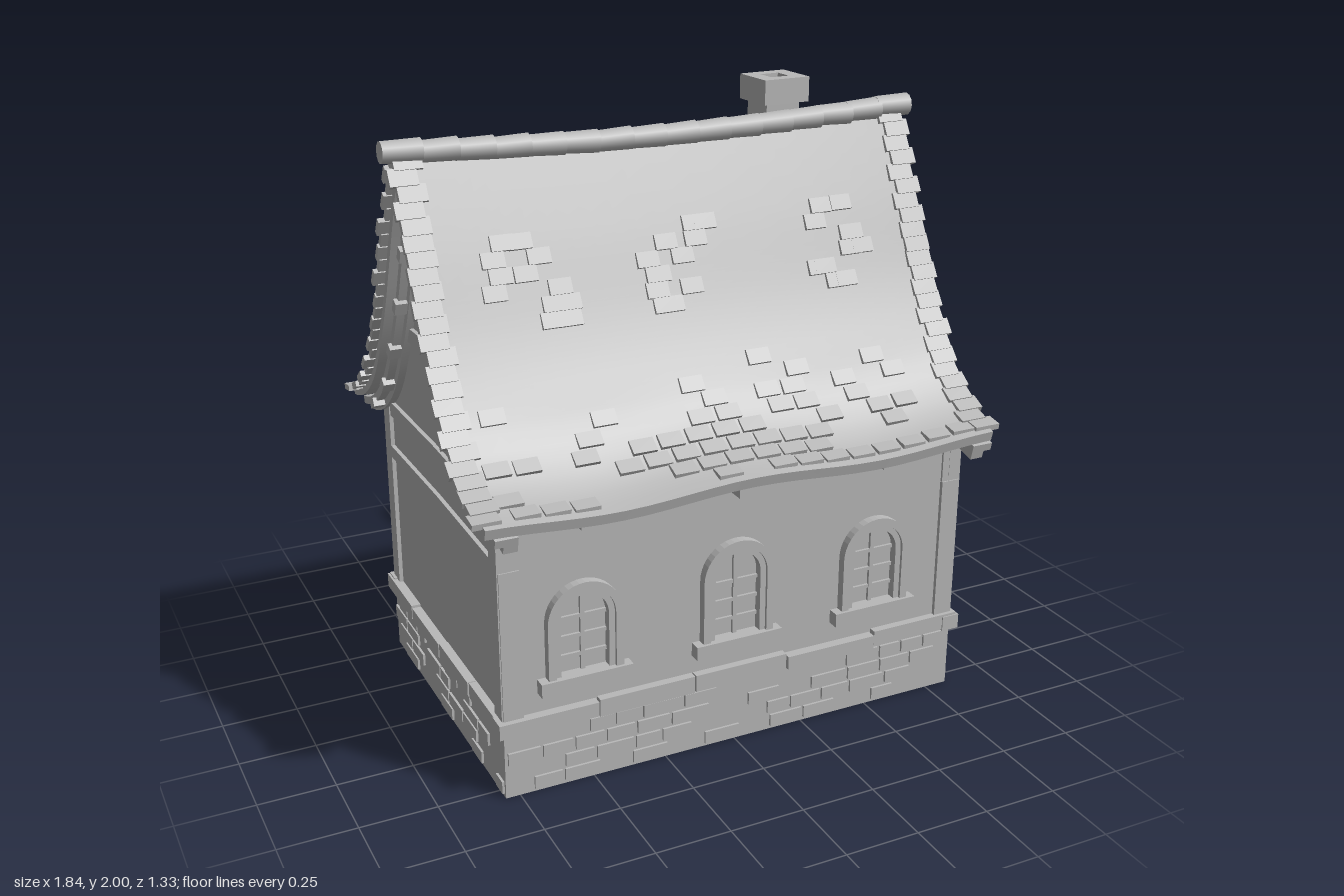
import * as THREE from 'three';
import { mergeGeometries, toCreasedNormals } from 'three/addons/utils/BufferGeometryUtils.js';

const stone = new THREE.MeshStandardMaterial({ color: 0xb8b8b8 });
stone.name = 'plain grey';

let seed = 7;
const rnd = () => (seed = (seed * 16807) % 2147483647) / 2147483647;
const jit = (a) => (rnd() - 0.5) * 2 * a;

const CX = 0.018, HX = 0.815, HZ = 0.55; // body centre and half sizes
const T = 0.04; // wall thickness

function add(parent, name, geos) {
  const list = [geos].flat().map((g) => (g.index ? g.toNonIndexed() : g));
  const m = new THREE.Mesh(list.length > 1 ? mergeGeometries(list) : list[0], stone);
  m.name = name;
  parent.add(m);
  return m;
}
// box given by its ranges
const box = (x0, x1, y0, y1, z0, z1) =>
  new THREE.BoxGeometry(x1 - x0, y1 - y0, z1 - z0).translate((x0 + x1) / 2, (y0 + y1) / 2, (z0 + z1) / 2);
const slab = (shape, z0, z1, steps = 1) =>
  new THREE.ExtrudeGeometry(shape, { depth: z1 - z0, steps, bevelEnabled: false, curveSegments: 10 }).translate(0, 0, z0);

// round-headed outline
function arch(Type, cx, h, bottom, top) {
  const s = new Type();
  s.moveTo(cx - h, bottom); s.lineTo(cx + h, bottom); s.lineTo(cx + h, top - h);
  s.absarc(cx, top - h, h, 0, Math.PI, false);
  s.closePath();
  return s;
}
function rect(Type, x0, x1, y0, y1) {
  const s = new Type();
  s.moveTo(x0, y0); s.lineTo(x1, y0); s.lineTo(x1, y1); s.lineTo(x0, y1); s.closePath();
  return s;
}
function ring(outer, inner) { outer.holes.push(inner); return outer; }

// bar between two points of a wall plane
function bar(a, b, w, z0, z1) {
  const len = Math.hypot(b[0] - a[0], b[1] - a[1]);
  return new THREE.BoxGeometry(len, w, z1 - z0).rotateZ(Math.atan2(b[1] - a[1], b[0] - a[0]))
    .translate((a[0] + b[0]) / 2, (a[1] + b[1]) / 2, (z0 + z1) / 2);
}

// half roof profile from ridge to eave, x = distance from the ridge plane
const slope = new THREE.CatmullRomCurve3(
  [[0, 1.93], [0.12, 1.665], [0.243, 1.39], [0.33, 1.235], [0.42, 1.105], [0.52, 1.02], [0.6, 0.98], [0.667, 0.963]]
    .map(([z, y]) => new THREE.Vector3(z, y, 0)));
function offsetSlope(d) {
  const pts = [[0, 1.93 - d / 0.41]];
  for (let i = 1; i <= 26; i++) {
    const p = slope.getPointAt(i / 26), t = slope.getTangentAt(i / 26);
    const z = p.x + t.y * d, y = p.y - t.x * d;
    if (z > 0.005) pts.push([z, y]);
  }
  return pts;
}
const mirrored = (pts) => [...pts.slice().reverse(), ...pts.slice(1).map(([z, y]) => [-z, y])];
const toShape = (pts) => new THREE.Shape(pts.map(([x, y]) => new THREE.Vector2(x, y)));
const ribbon = (d0, d1) => toShape([...mirrored(offsetSlope(d0)), ...mirrored(offsetSlope(d1)).reverse()]);
// sagging ridge and wavy eaves
const sag = (x, y) => THREE.MathUtils.clamp((y - 1.2) / 0.73, 0, 1) * 0.03 * ((x / 0.9) ** 2 - 1)
  + THREE.MathUtils.clamp((1.2 - y) / 0.24, 0, 1) * 0.012 * Math.cos(x * 7);

function roof(g) {
  const shell = slab(ribbon(0, 0.035), -0.87, 0.87, 24).rotateY(Math.PI / 2);
  const p = shell.attributes.position;
  for (let i = 0; i < p.count; i++) p.setY(i, p.getY(i) + sag(p.getX(i), p.getY(i)));
  add(g, 'roof', toCreasedNormals(shell, 0.6));

  // raised shingles
  const tiles = [];
  const tile = (x, u, s, w, h) => {
    const c = slope.getPointAt(u), t = slope.getTangentAt(u);
    tiles.push(new THREE.BoxGeometry(w, 0.02, h).rotateX(Math.atan2(-t.y, s * t.x) - s * 0.1)
      .translate(x, c.y + sag(x, c.y), s * c.x));
  };
  for (const s of [-1, 1]) {
    for (let i = 0; i < 24; i++)
      for (const e of [-1, 1]) tile(e * (0.845 + (i % 2) * 0.012 + jit(0.006)), 0.03 + i * 0.0405, s, 0.09, 0.055);
    for (const cx of [-0.52, 0, 0.55])
      for (let r = 0; r < 6; r++)
        for (let k = 0; k < 2; k++) tile(cx + jit(0.13), 0.25 + r * 0.042, s, 0.075, 0.05);
    for (let r = 0; r < 8; r++)
      for (let k = 0; k < 17; k++)
        if (rnd() < 0.25 + r * 0.045) tile(-0.76 + k * 0.094 + (r % 2) * 0.03, 0.635 + r * 0.046, s, 0.08, 0.05);
  }
  add(g, 'shingles', tiles);

  // overlapping ridge caps
  const caps = [];
  for (let i = 0; i < 16; i++) {
    const x = -0.855 + i * 0.114;
    caps.push(new THREE.CylinderGeometry(0.034, 0.038, 0.125, 12).rotateZ(Math.PI / 2 + jit(0.03))
      .translate(x, 1.925 + sag(x, 1.93), 0));
  }
  add(g, 'ridgeCaps', caps);

  // rafter ends under the eaves
  const ends = [];
  for (const s of [-1, 1])
    for (const x of [-0.525, 0, 0.52]) ends.push(box(x - 0.03, x + 0.03, 0.89, 0.945, s * 0.57 - 0.045, s * 0.57 + 0.045));
  add(g, 'rafterEnds', ends);
}

function archedWindow(g, cx, top) {
  const w = new THREE.Group();
  w.name = 'archedWindow';
  add(w, 'outerFrame', slab(ring(arch(THREE.Shape, cx, 0.125, 0.37, top), arch(THREE.Path, cx, 0.1, 0.375, top - 0.025)), -T - 0.012, 0.02));
  add(w, 'innerFrame', slab(ring(arch(THREE.Shape, cx, 0.1, 0.375, top - 0.025), arch(THREE.Path, cx, 0.08, 0.385, top - 0.045)), -T - 0.005, 0.01));
  add(w, 'pane', slab(arch(THREE.Shape, cx, 0.085, 0.375, top - 0.04), -0.028, -0.02));
  const bars = [box(cx - 0.007, cx + 0.007, 0.38, top - 0.045, -0.036, -0.01)];
  for (const y of [0.44, 0.505, 0.57]) bars.push(box(cx - 0.08, cx + 0.08, y - 0.006, y + 0.006, -0.035, -0.011));
  add(w, 'glazingBars', bars);
  add(w, 'sill', box(cx - 0.153, cx + 0.153, 0.338, 0.385, -T - 0.012, 0.03));
  g.add(w);
}

// stone plinth with scattered bricks and a ledge of separate blocks
function plinth(g, h) {
  add(g, 'plinth', box(-h, h, 0, 0.235, -T, 0));
  const bricks = [], ledge = [];
  for (let r = 0; r < 4; r++)
    for (let x = -h + 0.01 + (r % 2) * 0.05; x < h - 0.06;) {
      const w = Math.min(0.085 + rnd() * 0.06, h - x);
      const y = 0.012 + r * 0.052;
      if (rnd() < 0.55) bricks.push(box(x, x + w - 0.01, y, y + 0.042, -0.01, 0.008));
      x += w;
    }
  const n = Math.round(h / 0.15);
  for (let i = 0; i < n; i++) {
    const a = -h - 0.02 + (i * (2 * h + 0.04)) / n, b = a + (2 * h + 0.04) / n - 0.005;
    ledge.push(box(a, b, 0.22 + jit(0.005), 0.272 + jit(0.006), -T, 0.02 + jit(0.004)));
  }
  add(g, 'bricks', bricks);
  add(g, 'ledge', ledge);
}

function longWall(g) {
  const wins = [[-0.527, 0.695], [0, 0.722], [0.51, 0.695]].map(([x, t]) => [(x - CX) * g.userData.flip, t]);
  const s = rect(THREE.Shape, -HX + 0.012, HX - 0.012, 0.23, 0.975);
  for (const [x, top] of wins) s.holes.push(arch(THREE.Path, x, 0.1, 0.375, top - 0.025));
  add(g, 'wall', slab(s, -T - 0.01, -0.01));
  for (const [x, top] of wins) archedWindow(g, x, top);
  for (const e of [-1, 1])
    add(g, 'cornerPost', [box(e * 0.782 - 0.033, e * 0.782 + 0.033, 0.26, 0.77, -T, 0.003),
      box(e * 0.78 - 0.03, e * 0.78 + 0.03, 0.77, 0.95, -T, -0.002)]);
  plinth(g, HX);
}

function endWall(g, openings) {
  const inner = offsetSlope(0.03).filter(([z, y]) => z < 0.52 && y > 0.96);
  const s = toShape([[-0.535, 0.23], [0.535, 0.23], [0.535, 0.96], ...mirrored(inner), [-0.535, 0.96]]);
  if (openings) {
    s.holes.push(arch(THREE.Path, -0.25, 0.09, 0.26, 0.635), rect(THREE.Path, 0.17, 0.35, 0.28, 0.61));
    add(g, 'doorFrame', slab(ring(arch(THREE.Shape, -0.25, 0.115, 0.255, 0.66), arch(THREE.Path, -0.25, 0.09, 0.256, 0.635)), -T - 0.01, 0.012));
    // square window
    add(g, 'squareFrame', slab(ring(rect(THREE.Shape, 0.145, 0.375, 0.265, 0.63), rect(THREE.Path, 0.178, 0.342, 0.285, 0.6)), -T - 0.01, 0.008));
    add(g, 'squareLintel', box(0.135, 0.385, 0.605, 0.648, -T, 0.02));
    add(g, 'squarePane', box(0.17, 0.35, 0.28, 0.61, -0.03, -0.022));
    const bars = [box(0.253, 0.267, 0.28, 0.61, -0.035, -0.006)];
    for (const y of [0.36, 0.44, 0.525]) bars.push(box(0.175, 0.345, y - 0.006, y + 0.006, -0.034, -0.008));
    add(g, 'squareBars', bars);
  }
  add(g, 'gableWall', slab(s, -T - 0.01, -0.01));
  for (const e of [-1, 1]) add(g, 'cornerPost', box(e * 0.517 - 0.032, e * 0.517 + 0.032, 0.26, 0.97, -T, 0.004));
  // tie beams and collars
  const beams = [];
  for (const [y, h, w] of [[0.78, 0.53, 0.042], [0.945, 0.47, 0.05], [1.285, 0.24, 0.05], [1.5, 0.14, 0.05]])
    beams.push(bar([-h, y - 0.004], [0, y + 0.004], w, -T, 0.004), bar([0, y + 0.004], [h, y - 0.004], w, -T, 0.004));
  add(g, 'tieBeams', beams);
  // curved braces
  const braces = [];
  for (const e of [-1, 1]) {
    const c = new THREE.QuadraticBezierCurve(new THREE.Vector2(e * 0.12, 1.475), new THREE.Vector2(e * 0.035, 1.44), new THREE.Vector2(e * 0.018, 1.3));
    const p = c.getPoints(5);
    for (let i = 0; i < 5; i++) braces.push(bar(p[i].toArray(), p[i + 1].toArray(), 0.035, -T, 0));
  }
  add(g, 'braces', braces);
  // bargeboards following the roof, with peg blocks
  add(g, 'bargeboard', toCreasedNormals(slab(ribbon(0.033, 0.06), -0.03, 0.042), 0.6));
  add(g, 'innerRafters', toCreasedNormals(slab(ribbon(0.058, 0.085), -0.03, 0.015), 0.6));
  const pegs = [];
  for (const e of [-1, 1])
    for (const u of [0.13, 0.29, 0.46, 0.62, 0.76, 0.89]) {
      const p = slope.getPointAt(u), t = slope.getTangentAt(u);
      pegs.push(new THREE.BoxGeometry(0.045, 0.03, 0.07).rotateZ(e * Math.atan2(t.y, t.x))
        .translate(e * (p.x + t.y * 0.062), p.y - t.x * 0.062, 0.02));
    }
  add(g, 'pegs', pegs);
  plinth(g, HZ);
}

function chimney(g) {
  const c = new THREE.Group();
  c.name = 'chimney';
  // tapered, slightly crooked hollow shaft
  const shaft = slab(ring(rect(THREE.Shape, -0.068, 0.068, -0.072, 0.072), rect(THREE.Path, -0.03, 0.03, -0.03, 0.03)), 0, 0.82, 6)
    .rotateX(-Math.PI / 2);
  const p = shaft.attributes.position;
  for (let i = 0; i < p.count; i++) {
    const y = p.getY(i), k = 1.06 - 0.14 * (y / 0.82);
    p.setXYZ(i, p.getX(i) * k + Math.sin(y * 7) * 0.004, y, p.getZ(i) * k);
  }
  shaft.computeVertexNormals();
  add(c, 'shaft', shaft.translate(0, 1.12, 0));
  add(c, 'cap', slab(ring(rect(THREE.Shape, -0.088, 0.088, -0.082, 0.082), rect(THREE.Path, -0.035, 0.035, -0.035, 0.035)), 0, 0.085)
    .rotateX(-Math.PI / 2).rotateY(0.05).translate(0, 1.915, 0));
  c.position.set(0.57, 0, -0.288);
  g.add(c);
}

export function createModel() {
  const model = new THREE.Group();
  model.name = 'cottage';
  // each wall is built facing +z, then turned into place
  const side = (name, angle, x, z, build, flip) => {
    const g = new THREE.Group();
    g.name = name;
    g.userData.flip = flip;
    g.rotation.y = angle;
    g.position.set(x, 0, z);
    build(g);
    model.add(g);
  };
  side('frontWall', 0, CX, HZ, longWall, 1);
  side('backWall', Math.PI, CX, -HZ, longWall, -1);
  side('leftEnd', Math.PI / 2, CX + HX, 0, (g) => endWall(g, true), 1);
  side('rightEnd', -Math.PI / 2, CX - HX, 0, (g) => endWall(g, false), 1);
  roof(model);
  chimney(model);
  return model;
}
